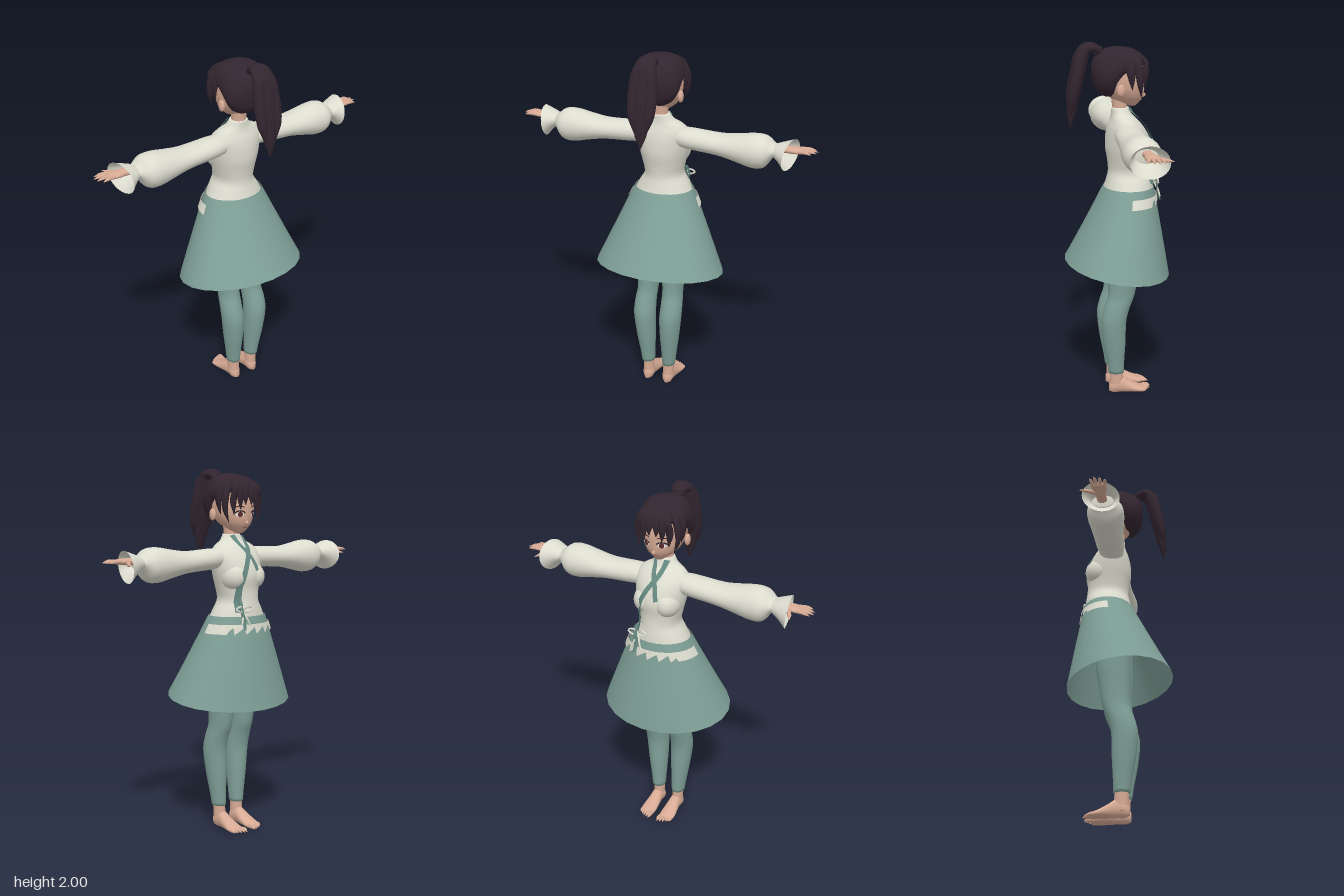
import * as THREE from 'three';
import { mergeVertices } from 'three/addons/utils/BufferGeometryUtils.js';

const mat = (name, color) => Object.assign(new THREE.MeshStandardMaterial({ color, side: THREE.DoubleSide }), { name });

// Ring rows are [t, a, b, ra, rb]; smooth interpolation at any t
function sample(rings, t) {
  const n = rings.length;
  t = THREE.MathUtils.clamp(t, rings[0][0], rings[n - 1][0]);
  let i = 0;
  while (i < n - 2 && t > rings[i + 1][0]) i++;
  const p = rings[i], q = rings[i + 1], o = rings[Math.max(i - 1, 0)], r = rings[Math.min(i + 2, n - 1)];
  const h = q[0] - p[0], s = (t - p[0]) / h, s2 = s * s, s3 = s2 * s;
  return p.map((v, k) => k === 0 ? t :
    (2 * s3 - 3 * s2 + 1) * v + (s3 - 2 * s2 + s) * h * (q[k] - o[k]) / (q[0] - o[0])
    + (3 * s2 - 2 * s3) * q[k] + (s3 - s2) * h * (r[k] - v) / (r[0] - p[0]));
}

// Elliptical cross-sections joined along an axis (a, b follow the axis cyclically)
function loft(rings, axis = 'y', { n = 28, sub = 4, caps = true } = {}) {
  const pos = [], idx = [], levels = [];
  const put = (t, a, b) => pos.push(...(axis === 'x' ? [t, a, b] : axis === 'y' ? [b, t, a] : [a, b, t]));
  rings.forEach((r, i) => {
    if (i) for (let k = 1; k <= sub; k++) levels.push(sample(rings, THREE.MathUtils.lerp(rings[i - 1][0], r[0], k / sub)));
    else levels.push(r);
  });
  for (const [t, a, b, ra, rb] of levels) for (let j = 0; j < n; j++) {
    const th = j / n * Math.PI * 2;
    put(t, a + ra * Math.cos(th), b + rb * Math.sin(th));
  }
  const L = levels.length;
  for (let i = 0; i < L - 1; i++) for (let j = 0; j < n; j++) {
    const a = i * n + j, b = i * n + (j + 1) % n;
    idx.push(a, b, a + n, b, b + n, a + n);
  }
  if (caps) {
    put(...levels[0]); put(...levels[L - 1]);
    for (let j = 0; j < n; j++) {
      const k = (j + 1) % n, e = (L - 1) * n;
      idx.push(L * n, k, j, L * n + 1, e + j, e + k);
    }
  }
  return build(pos, idx);
}

function build(pos, idx) {
  const g = new THREE.BufferGeometry();
  g.setAttribute('position', new THREE.Float32BufferAttribute(pos, 3));
  g.setIndex(idx);
  g.computeVertexNormals();
  return g;
}

// Tube along points whose radius varies; sx widens it sideways
function taper(pts, radii, sx = 1, seg = 18, sides = 10) {
  const curve = new THREE.CatmullRomCurve3(pts.map(p => new THREE.Vector3(...p)));
  let g = new THREE.TubeGeometry(curve, seg, 1, sides);
  const p = g.attributes.position, v = new THREE.Vector3();
  for (let i = 0; i < p.count; i++) {
    const u = Math.floor(i / (sides + 1)) / seg, c = curve.getPointAt(u);
    const f = u * (radii.length - 1), k = Math.min(Math.floor(f), radii.length - 2);
    v.fromBufferAttribute(p, i).sub(c).multiplyScalar(THREE.MathUtils.lerp(radii[k], radii[k + 1], f - k));
    p.setXYZ(i, c.x + v.x * sx, c.y + v.y, c.z + v.z);
  }
  g.deleteAttribute('uv'); g.deleteAttribute('normal');
  g = mergeVertices(g, 1e-5);
  g.computeVertexNormals();
  return g;
}

function ball(rx, ry, rz, x, y, z) {
  return new THREE.SphereGeometry(1, 20, 14).scale(rx, ry, rz).translate(x, y, z);
}

// Face-side (-z) surface of a vertical loft
function faceZ(rings, x, y) {
  const [, cz, cx, rz, rx] = sample(rings, y);
  return cz - rz * Math.sqrt(Math.max(0.03, 1 - ((x - cx) / rx) ** 2));
}

// Thin strip laid over a loft along (x, y) points
function strip(rings, pts, width, off) {
  const curve = new THREE.CatmullRomCurve3(pts.map(p => new THREE.Vector3(...p, 0)));
  const pos = [], idx = [], N = 24;
  for (let i = 0; i <= N; i++) {
    const c = curve.getPointAt(i / N), t = curve.getTangentAt(i / N);
    for (const s of [-1, 1]) {
      const x = c.x - t.y * s * width / 2, y = c.y + t.x * s * width / 2;
      pos.push(x, y, faceZ(rings, x, y) - off);
    }
    if (i < N) idx.push(2 * i, 2 * i + 1, 2 * i + 2, 2 * i + 1, 2 * i + 3, 2 * i + 2);
  }
  return build(pos, idx);
}

// Small oval laid over the face
function oval(rings, x, y, rx, ry, off) {
  const g = new THREE.CircleGeometry(1, 20).scale(rx, ry, 1).rotateY(Math.PI).translate(x, y, 0);
  const p = g.attributes.position;
  for (let i = 0; i < p.count; i++) p.setZ(i, faceZ(rings, p.getX(i), p.getY(i)) - off);
  g.computeVertexNormals();
  return g;
}

function mirrored(g) {
  const m = g.clone().scale(-1, 1, 1), a = m.index.array;
  for (let i = 0; i < a.length; i += 3) [a[i], a[i + 1]] = [a[i + 1], a[i]];
  return m;
}

export function createModel() {
  const model = new THREE.Group();
  const skin = mat('skin', 0xd8ab95), cream = mat('cream cloth', 0xdcdccf), teal = mat('teal cloth', 0x7fa097);
  const trim = mat('dark teal trim', 0x64877f), hair = mat('dark hair', 0x32252f);
  const white = mat('eye white', 0xe8e2de), iris = mat('iris', 0x5a2a2c), lip = mat('lip', 0xb8736a);
  const add = (name, g, m) => { const o = new THREE.Mesh(g, m); o.name = name; model.add(o); };
  const pair = (name, g, m) => { add(name + 'Left', g, m); add(name + 'Right', mirrored(g), m); };

  // Blouse
  const torso = [[1.2, -.063, 0, .137, .162], [1.25, -.068, 0, .127, .135], [1.3, -.07, 0, .118, .108],
    [1.36, -.066, 0, .118, .117], [1.43, -.064, 0, .127, .135], [1.5, -.055, 0, .115, .148],
    [1.55, -.045, 0, .095, .15], [1.59, -.035, 0, .07, .12], [1.615, -.025, 0, .055, .075], [1.65, -.018, 0, .046, .047]];
  add('blouse', loft(torso), cream);
  pair('bust', ball(.068, .075, .085, .063, 1.425, -.107), cream);
  pair('sleeve', loft([[.08, 1.525, -.037, .05, .06], [.16, 1.522, -.037, .056, .074], [.33, 1.513, -.037, .058, .082],
    [.43, 1.51, -.034, .074, .09], [.52, 1.508, -.032, .091, .097], [.58, 1.51, -.033, .083, .092],
    [.625, 1.523, -.036, .036, .058], [.64, 1.523, -.037, .036, .057]], 'x'), cream);
  const cuff = loft([[.63, 1.523, -.037, .034, .055], [.66, 1.52, -.038, .05, .07], [.71, 1.507, -.041, .083, .096]],
    'x', { caps: false });
  const cp = cuff.attributes.position;
  for (let i = 0; i < cp.count; i++) { // slanted cuff opening
    const k = (cp.getX(i) - .63) / .08;
    cp.setX(i, cp.getX(i) + k * ((cp.getY(i) - 1.507) * .12 - (cp.getZ(i) + .04) * .2));
  }
  cuff.computeVertexNormals();
  pair('cuff', cuff, cream);

  // Crossed collar trim and waist bow
  add('longCollarTrim', strip(torso, [[-.035, 1.645], [-.02, 1.58], [.03, 1.5], [.07, 1.4], [.08, 1.3], [.09, 1.24]], .026, .016), trim);
  add('shortCollarTrim', strip(torso, [[.035, 1.645], [.012, 1.58], [-.015, 1.53], [-.035, 1.46]], .024, .013), trim);
  add('hangingRibbon', taper([[.08, 1.3, -.19], [.085, 1.25, -.205], [.075, 1.2, -.21], [.08, 1.15, -.225]], [.004, .005, .005, .004], 2.4), trim);
  for (const s of [-1, 1]) {
    add('bowLoop', taper([[.07, 1.25, -.19], [.07 + s * .025, 1.275, -.205], [.07 + s * .055, 1.262, -.205],
      [.07 + s * .03, 1.247, -.21], [.07, 1.25, -.195]], [.005, .005, .005]), cream);
    add('bowTail', taper([[.07, 1.25, -.19], [.07 + s * .015, 1.21, -.212], [.07 + s * .03, 1.17, -.222]], [.005, .005, .004]), cream);
  }

  // Flared skirt, hem dipping toward the face side
  const skirtRings = [[1.218, -.065, 0, .138, .165], [1.0, -.034, 0, .211, .262], [.76, 0, 0, .29, .367]].reverse();
  const skirt = loft(skirtRings, 'y', { n: 22, caps: false });
  const sp = skirt.attributes.position;
  for (let i = 0; i < sp.count; i++) sp.setY(i, sp.getY(i) + sp.getZ(i) * .145 * (1.218 - sp.getY(i)) / .458);
  skirt.computeVertexNormals();
  add('skirt', skirt, teal);

  // Jagged pale band below the waist
  const bp = [], bi = [], N = 60;
  for (let i = 0; i <= N; i++) {
    const d = (i / N - .5) * 3.2, saw = (i % 6) / 6;
    for (const y of [1.178, Math.abs(d) > .85 ? 1.128 : 1.125 + .045 * saw]) {
      const [, cz, , rz, rx] = sample(skirtRings, y);
      bp.push((rx + .008) * Math.sin(Math.PI + d), y, cz + (rz + .008) * Math.cos(Math.PI + d));
    }
    if (i < N) bi.push(2 * i, 2 * i + 2, 2 * i + 1, 2 * i + 1, 2 * i + 2, 2 * i + 3);
  }
  add('waistBand', build(bp, bi), cream);

  // Leggings and bare feet
  pair('legging', loft([[.13, .014, .064, .044, .037], [.2, .018, .067, .05, .043], [.32, .026, .073, .064, .054],
    [.45, .03, .079, .071, .062], [.53, .012, .08, .072, .06], [.6, -.012, .076, .075, .057],
    [.7, -.022, .076, .083, .063], [.82, -.03, .08, .093, .072], [1.02, -.035, .085, .1, .078]]), teal);
  pair('ankle', loft([[.03, .017, .062, .034, .03], [.08, .012, .062, .038, .031], [.15, .014, .063, .037, .031]]), skin);
  pair('foot', loft([[-.155, .062, .015, .038, .009], [-.14, .062, .017, .043, .015], [-.1, .062, .025, .044, .024],
    [-.05, .061, .04, .037, .039], [-.01, .061, .052, .032, .05], [.03, .061, .045, .031, .043], [.054, .061, .036, .014, .024]], 'z'), skin);
  for (let i = 0; i < 5; i++) {
    const x = .03 + i * .0165, r = i ? .0085 : .012, z = -.19 + i * i * .0022;
    pair('toe', taper([[x, .018, -.13], [x, .021, z + .02], [x, .013, z]], [r, r, r, .001], 1, 8, 8), skin);
  }

  // Hands
  pair('palm', loft([[.62, 1.533, -.04, .022, .027], [.69, 1.535, -.043, .018, .028], [.73, 1.536, -.045, .017, .037],
    [.765, 1.536, -.046, .013, .037], [.778, 1.536, -.046, .006, .03]], 'x'), skin);
  [[-.075, .835, -.087], [-.056, .85, -.064], [-.037, .845, -.037], [-.018, .825, -.008]].forEach(([z, x, tz]) =>
    pair('finger', taper([[.755, 1.537, z], [(x + .76) / 2, 1.54, (z + tz) / 2], [x, 1.534, tz]], [.01, .0095, .0085, .001], 1, 8, 8), skin));
  pair('thumb', taper([[.7, 1.53, -.05], [.735, 1.525, -.1], [.755, 1.522, -.148]], [.014, .012, .01, .001], 1, 8, 8), skin);

  // Neck and head
  add('neck', loft([[1.6, -.02, 0, .044, .042], [1.66, -.015, 0, .04, .039], [1.73, -.01, 0, .044, .044]]), skin);
  const head = [[1.657, -.083, 0, .02, .018], [1.675, -.07, 0, .05, .046], [1.71, -.047, 0, .095, .083],
    [1.76, -.028, 0, .122, .108], [1.82, -.02, 0, .13, .115], [1.9, -.02, 0, .11, .105], [1.94, -.02, 0, .06, .06]];
  add('head', loft(head), skin);
  add('nose', ball(.009, .012, .014, 0, 1.712, -.143), skin);
  pair('ear', ball(.014, .032, .022, .118, 1.755, -.003), skin);
  pair('eyeWhite', oval(head, .045, 1.757, .021, .015, .003), white);
  pair('iris', oval(head, .044, 1.757, .012, .015, .005), iris);
  pair('lash', strip(head, [[.02, 1.764], [.035, 1.774], [.055, 1.774], [.072, 1.764]], .007, .007), hair);
  pair('brow', strip(head, [[.022, 1.794], [.045, 1.8], [.07, 1.795]], .005, .004), hair);
  add('mouth', strip(head, [[-.017, 1.689], [0, 1.687], [.017, 1.689]], .005, .004), lip);

  // Hair cap, fringe and side locks
  add('hairCap', loft([[1.715, .045, 0, .03, .05], [1.74, .05, 0, .06, .09], [1.79, .052, 0, .076, .122], [1.84, .03, 0, .106, .132],
    [1.885, -.01, 0, .144, .131], [1.93, -.012, 0, .122, .111], [1.96, -.008, 0, .075, .075], [1.972, -.005, 0, .02, .02]]), hair);
  [[.02, 1.805, -.158], [.05, 1.782, -.153], [.082, 1.755, -.136]].forEach(([x, y, z]) =>
    pair('fringeLock', taper([[x * .5, 1.945, -.085], [x * .85, 1.895, -.142], [x * 1.05, 1.84, z], [x, y, z]],
      [.012, .014, .013, .01, .001], 1.9), hair));
  pair('sideLock', taper([[.07, 1.93, -.085], [.108, 1.87, -.1], [.118, 1.79, -.105], [.1, 1.715, -.115]], [.015, .024, .022, .014, .001], .8), hair);
  pair('templeLock', taper([[.09, 1.92, -.05], [.122, 1.86, -.055], [.122, 1.8, -.06], [.113, 1.755, -.065]], [.02, .028, .024, .014, .001], .5), hair);

  // Ponytail
  add('ponytail', taper([[0, 1.935, .08], [0, 1.968, .125], [0, 1.96, .17], [0, 1.88, .198], [0, 1.75, .226], [0, 1.62, .246], [0, 1.53, .252]],
    [.016, .028, .037, .039, .037, .034, .028, .018, .001], 1.7, 32, 16), hair);
  pair('ponytailLock', taper([[.01, 1.965, .14], [.03, 1.94, .19], [.045, 1.84, .214], [.045, 1.72, .24], [.025, 1.6, .255]],
    [.02, .03, .03, .026, .001], 1.1), hair);
  const tie = new THREE.TorusGeometry(.022, .009, 8, 20).rotateX(-.6).translate(0, 1.95, .1);
  add('hairTie', tie, hair);
  return model;
}
